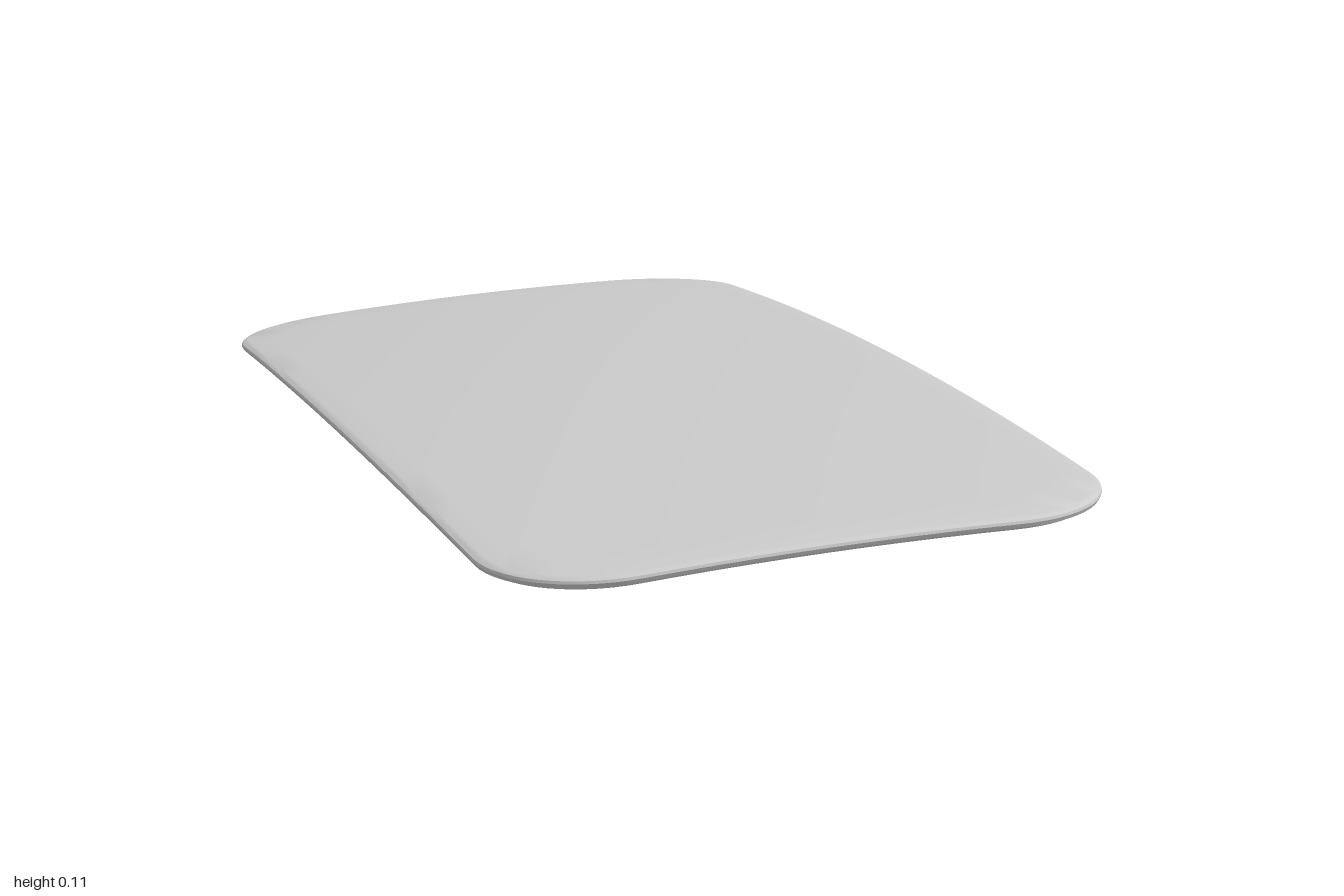
import * as THREE from 'three';
import { toCreasedNormals } from 'three/addons/utils/BufferGeometryUtils.js';

const HALF_X = 0.47, HALF_Z = 1, RADIUS = 0.19;

// Height of the domed top surface, rising towards +x and falling to both ends
const topHeight = (x, z) => 0.09 + 0.067 * x - 0.072 * x * x - 0.038 * z * z;

// Rounded rectangle, inset by d, with subdivided straight sides
function outline(d) {
  const r = RADIUS - d, cx = HALF_X - RADIUS, cz = HALF_Z - RADIUS;
  const corners = [[1, 1], [-1, 1], [-1, -1], [1, -1]];
  const arcs = corners.map(([sx, sz], k) => Array.from({ length: 15 }, (_, i) => {
    const a = (k + i / 14) * Math.PI / 2;
    return [sx * cx + r * Math.cos(a), sz * cz + r * Math.sin(a)];
  }));
  const points = [];
  arcs.forEach((arc, k) => {
    points.push(...arc);
    const a = arc[14], b = arcs[(k + 1) % 4][0], n = k % 2 ? 20 : 10;
    for (let i = 1; i < n; i++) {
      const t = i / n;
      points.push([a[0] + (b[0] - a[0]) * t, a[1] + (b[1] - a[1]) * t]);
    }
  });
  return points;
}

function panelGeometry() {
  // Rings from the top centre, over the edge, to the bottom centre: scale, inset, depth
  const rings = [];
  const steps = 12;
  for (let i = 0; i <= steps; i++) rings.push([i / steps, 0.012, 0]);
  rings.push(
    [1, 0.006, 0.001], [1, 0.001, 0.004], [1, 0, 0.008], [1, 0.003, 0.014], // rounded rim
    [1, 0.014, 0.016], [1, 0.017, 0.021], [1, 0.025, 0.021], [1, 0.029, 0.018], // lower lip
  );
  for (let i = steps - 1; i >= 0; i--) rings.push([i / steps, 0.029, 0.018]);

  const positions = [], index = [];
  let n = 0;
  for (const [scale, inset, depth] of rings) {
    const points = outline(inset);
    n = points.length;
    for (const [px, pz] of points) {
      const z = pz * scale;
      let x = px * scale;
      if (x < 0) x *= 1 - 0.045 * z * z; // gently bowed right edge
      positions.push(x, topHeight(x, z) - depth, z);
    }
  }
  for (let i = 0; i < rings.length - 1; i++) {
    for (let j = 0; j < n; j++) {
      const k = (j + 1) % n;
      const a = i * n + j, b = i * n + k, c = a + n, d = b + n;
      if (i > 0) index.push(a, b, c);
      if (i < rings.length - 2) index.push(b, d, c);
      if (i === 0) continue;
      if (i === rings.length - 2) continue;
    }
  }
  const geometry = new THREE.BufferGeometry();
  geometry.setAttribute('position', new THREE.Float32BufferAttribute(positions, 3));
  geometry.setIndex(index);
  return toCreasedNormals(geometry, Math.PI / 5);
}

export function createModel() {
  const group = new THREE.Group();
  group.name = 'curvedPanel';
  const panel = new THREE.Mesh(panelGeometry(), new THREE.MeshStandardMaterial({ color: 0xcccccc }));
  panel.name = 'panel';
  // Stand the panel on the ground
  panel.geometry.computeBoundingBox();
  panel.position.y = -panel.geometry.boundingBox.min.y;
  group.add(panel);
  return group;
}
